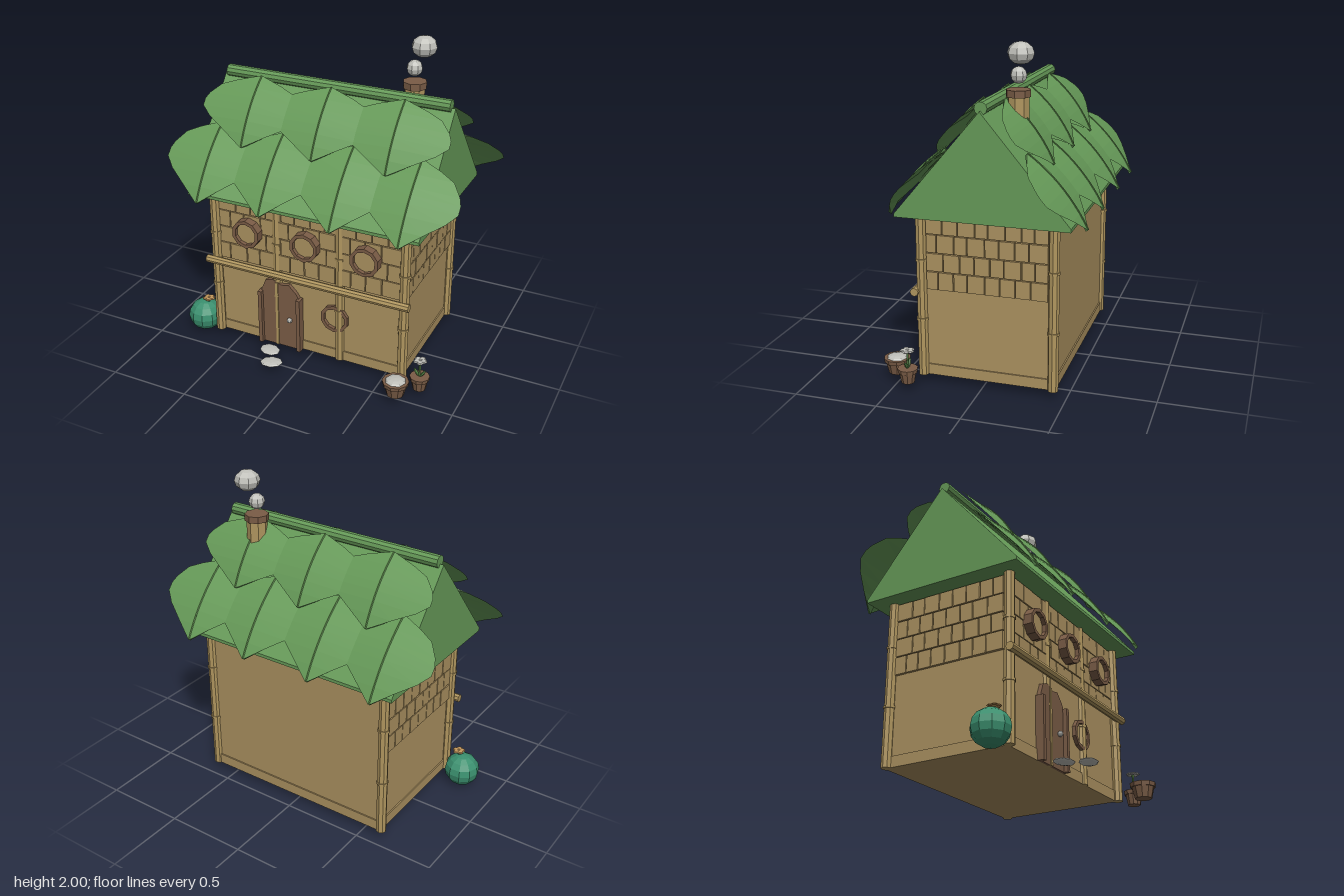
import * as THREE from 'three';

const mat = (name, color) => Object.assign(new THREE.MeshStandardMaterial({ color }), { name });
const M = {
  wall: mat('tan wall', 0xab9160),
  post: mat('bamboo', 0xb0965f),
  leaf: mat('leaf green', 0x669a58),
  rib: mat('leaf rib', 0x5a8849),
  wood: mat('brown wood', 0x7a5c46),
  gourd: mat('sea green', 0x3a8f6e),
  stone: mat('pale grey', 0xc0c0ba),
  petal: mat('orange petal', 0xc4985c),
};

export function createModel() {
  const house = new THREE.Group();
  house.name = 'leafRoofedHouse';

  // Adds a faceted mesh
  function add(name, geo, material, x = 0, y = 0, z = 0, parent = house) {
    const g = geo.index ? geo.toNonIndexed() : geo;
    g.computeVertexNormals();
    const m = new THREE.Mesh(g, material);
    m.name = name;
    m.position.set(x, y, z);
    parent.add(m);
    return m;
  }
  const box = (w, h, d) => new THREE.BoxGeometry(w, h, d);
  const cyl = (rt, rb, h, n = 8) => new THREE.CylinderGeometry(rt, rb, h, n);
  const ball = (r, w = 8, h = 6) => new THREE.SphereGeometry(r, w, h);
  let seed = 7;
  const rand = () => (seed = (seed * 16807) % 2147483647) / 2147483647;

  // Walls and skirting
  add('walls', box(1.24, 0.99, 0.77), M.wall, 0, 0.545, -0.045);
  add('skirting', box(1.256, 0.065, 0.786), M.wall, 0, 0.0825, -0.045);

  // Upper floor tiles, in staggered rows
  function tileWall(name, width, count, x, z, turn) {
    const g = new THREE.Group();
    g.name = name;
    g.position.set(x, 0, z);
    g.rotation.y = turn;
    house.add(g);
    const pitch = width / count;
    for (let row = 0; row < 4; row++) {
      const edges = [-width / 2];
      for (let i = 1; i < count; i++) edges.push(-width / 2 + pitch * (i + (row % 2 ? 0.2 : -0.2) + (rand() - 0.5) * 0.2));
      edges.push(width / 2);
      for (let i = 0; i < count; i++) {
        const w = edges[i + 1] - edges[i];
        add('tile', box(w - 0.006, 0.105, 0.016 + rand() * 0.006), M.wall,
          (edges[i] + edges[i + 1]) / 2, 0.64 + row * 0.111, 0.008, g);
      }
    }
  }
  tileWall('frontTiles', 1.2, 12, 0, 0.34, 0);
  tileWall('leftTiles', 0.72, 8, 0.62, -0.035, Math.PI / 2);
  tileWall('rightTiles', 0.72, 8, -0.62, -0.035, -Math.PI / 2);

  // Bamboo posts with nodes
  for (const [x, z] of [[-0.627, 0.357], [0.627, 0.357], [-0.627, -0.425], [0.627, -0.425], [-0.21, 0.335], [0.21, 0.335]]) {
    add('post', cyl(0.031, 0.031, 0.99), M.post, x, 0.545, z);
    for (const y of [0.4, 0.76]) add('postNode', cyl(0.036, 0.036, 0.014), M.post, x, y, z);
  }
  const beam = add('frontBeam', cyl(0.025, 0.025, 1.35), M.post, -0.005, 0.57, 0.39);
  beam.rotation.z = Math.PI / 2;

  // Round windows
  function ringShape(r, n) {
    const s = new THREE.Shape();
    for (let i = 0; i < n; i++) {
      const a = (i + 0.5) * 2 * Math.PI / n;
      s[i ? 'lineTo' : 'moveTo'](r * Math.cos(a), r * Math.sin(a));
    }
    return s;
  }
  function roundWindow(x, y, front) {
    const s = ringShape(0.092, 10);
    s.holes.push(ringShape(0.07, 10));
    add('windowFrame', new THREE.ExtrudeGeometry(s, { depth: front - 0.33, bevelEnabled: false }), M.wood, x, y, 0.33);
    add('windowPane', new THREE.ShapeGeometry(ringShape(0.072, 10)), M.wall, x, y, front - 0.025);
  }
  for (const x of [-0.39, 0, 0.39]) roundWindow(x, 0.81, 0.41);
  roundWindow(0.18, 0.34, 0.362);

  // Door with raised jambs, centre strip and knob
  const doorShape = new THREE.Shape([[-0.14, 0.05], [0.14, 0.05], [0.14, 0.4], [0.11, 0.45], [0.06, 0.5],
    [0.01, 0.49], [-0.05, 0.515], [-0.1, 0.5], [-0.12, 0.45], [-0.14, 0.4]].map(p => new THREE.Vector2(...p)));
  add('door', new THREE.ExtrudeGeometry(doorShape, { depth: 0.035, bevelEnabled: false }), M.wood, -0.185, 0, 0.33);
  for (const s of [-1, 1]) add('doorJamb', box(0.025, 0.37, 0.06), M.wood, -0.185 + s * 0.132, 0.235, 0.36);
  add('doorStrip', box(0.018, 0.45, 0.008), M.post, -0.207, 0.275, 0.367);
  add('doorKnob', ball(0.017), M.stone, -0.118, 0.255, 0.375);

  // Solid gable roof
  const gable = new THREE.Shape([[-0.505, 1.035], [0.505, 1.035], [0.505, 1.055], [0, 1.655], [-0.505, 1.055]]
    .map(p => new THREE.Vector2(...p)));
  const roof = add('gableRoof', new THREE.ExtrudeGeometry(gable, { depth: 1.48, bevelEnabled: false }), M.leaf, -0.74, 0, -0.037);
  roof.rotation.y = Math.PI / 2;
  const ridge = add('ridgePole', cyl(0.037, 0.037, 1.435, 10), M.leaf, 0, 1.668, -0.037);
  ridge.rotation.z = Math.PI / 2;

  // Arched leaf built from four-point sections: left, spine, right, underside
  const outline = [[0, 0.02], [0.1, 0.45], [0.19, 0.75], [0.34, 0.94], [0.43, 1], [0.53, 1], [0.66, 0.8], [0.82, 0.43], [1, 0.02]];
  function leafGeometry(curve, half) {
    const pos = [], idx = [];
    outline.forEach(([t, w], i) => {
      const p = curve.getPoint(t), sag = 0.018 * w;
      pos.push(-w * half, p.y - sag, p.z - sag, 0, p.y, p.z, w * half, p.y - sag, p.z - sag,
        0, p.y - 0.012, p.z - 0.012);
      if (!i) return;
      for (let k = 0; k < 4; k++) {
        const a = (i - 1) * 4 + k, b = (i - 1) * 4 + (k + 1) % 4;
        idx.push(a, a + 4, b + 4, a, b + 4, b);
      }
    });
    const g = new THREE.BufferGeometry();
    g.setAttribute('position', new THREE.Float32BufferAttribute(pos, 3));
    g.setIndex(idx);
    return g;
  }
  const arc = (...p) => new THREE.QuadraticBezierCurve3(...p.map(([z, y]) => new THREE.Vector3(0, y, z)));
  const rows = [
    { curve: arc([0.06, 1.685], [0.245, 1.55], [0.34, 1.33]), half: 0.325, xs: [-0.46, 0, 0.46] },
    { curve: arc([0.235, 1.425], [0.45, 1.275], [0.575, 1.03]), half: 0.285, xs: [-0.64, -0.225, 0.225, 0.64] },
  ];
  for (const side of ['front', 'back']) {
    const g = new THREE.Group();
    g.name = side + 'Leaves';
    g.position.z = -0.037;
    if (side === 'back') g.rotation.y = Math.PI;
    house.add(g);
    for (const { curve, half, xs } of rows) for (const x of xs) {
      add('roofLeaf', leafGeometry(curve, half), M.leaf, x, 0, 0, g);
      add('leafRib', new THREE.TubeGeometry(curve, 10, 0.006, 5), M.rib, x, 0, 0, g);
    }
  }

  // Chimney and smoke
  add('chimney', cyl(0.062, 0.062, 0.4), M.post, 0.445, 1.5, -0.165);
  add('chimneyCap', cyl(0.072, 0.072, 0.04), M.wood, 0.445, 1.713, -0.165);
  add('smokePuff', ball(0.048), M.stone, 0.44, 1.81, -0.165);
  add('smokePuff', ball(0.077), M.stone, 0.485, 1.937, -0.19).scale.y = 0.82;

  // Stepping stones
  for (const [x, z, r] of [[-0.15, 0.56, 0.3], [-0.22, 0.45, -0.3]]) {
    const s = add('steppingStone', ball(0.068), M.stone, x, 0.055, z);
    s.scale.set(1.03, 0.2, 0.8);
    s.rotation.y = r;
  }

  // Five-petal flower
  function flower(name, material, x, y, z, r) {
    for (let i = 0; i < 5; i++) {
      const a = i * Math.PI * 0.4;
      add(name, ball(r * 0.5, 6, 4), material, x + Math.cos(a) * r * 0.5, y, z + Math.sin(a) * r * 0.5).scale.y = 0.4;
    }
  }

  // Round gourd plant
  add('gourd', ball(0.11, 10, 8), M.gourd, -0.76, 0.105, 0.33).scale.y = 0.95;
  add('gourdStem', cyl(0.008, 0.01, 0.04, 5), M.gourd, -0.735, 0.21, 0.33);
  flower('gourdFlower', M.petal, -0.73, 0.23, 0.33, 0.042);

  // Pots
  function pot(x, z, r, h) {
    add('pot', cyl(r * 0.9, r * 0.65, h, 10), M.wood, x, 0.05 + h / 2, z);
    add('potRim', cyl(r, r * 0.95, 0.025, 10), M.wood, x, 0.05 + h - 0.005, z);
  }
  pot(0.65, 0.515, 0.08, 0.085);
  add('potPebbles', ball(0.062), M.stone, 0.65, 0.142, 0.515).scale.y = 0.3;
  pot(0.758, 0.405, 0.06, 0.08);
  add('flowerStem', cyl(0.007, 0.007, 0.12, 5), M.rib, 0.757, 0.185, 0.405);
  for (const s of [-1, 1]) {
    const l = add('flowerLeaf', ball(0.03, 6, 4), M.rib, 0.757 + s * 0.02, 0.16, 0.405);
    l.scale.set(0.3, 1, 0.4);
    l.rotation.z = -s * 0.6;
  }
  flower('potFlower', M.stone, 0.757, 0.245, 0.405, 0.044);

  return house;
}
